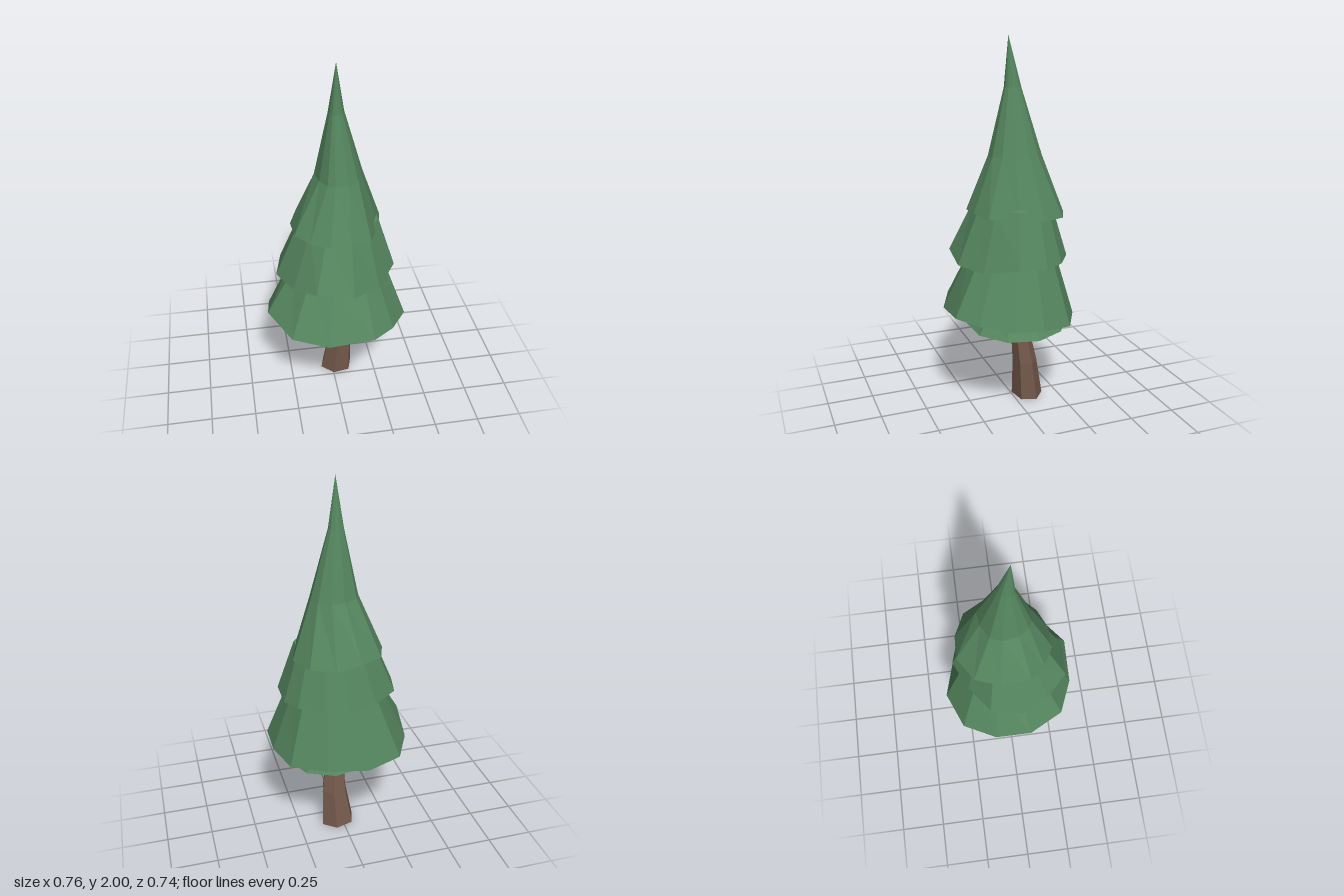
import * as THREE from 'three';

// Loft through closed rings of [x, y, z] points, ordered bottom to top, with pointed or flat ends.
function loft(name, rings, bottom, top, material) {
  const pos = [];
  const tri = (a, b, c) => pos.push(...a, ...b, ...c);
  const n = rings[0].length;
  const last = rings[rings.length - 1];
  for (let i = 0; i < n; i++) {
    const j = (i + 1) % n;
    tri(bottom, rings[0][i], rings[0][j]);
    for (let k = 0; k + 1 < rings.length; k++) {
      const lo = rings[k], hi = rings[k + 1];
      tri(lo[i], hi[i], hi[j]);
      tri(lo[i], hi[j], lo[j]);
    }
    tri(top, last[j], last[i]);
  }
  const g = new THREE.BufferGeometry();
  g.setAttribute('position', new THREE.Float32BufferAttribute(pos, 3));
  g.computeVertexNormals();
  const mesh = new THREE.Mesh(g, material);
  mesh.name = name;
  return mesh;
}

// Shrink a ring about (cx, cz); place it at height y, or lift it by dy when y is null.
const shrink = (ring, s, cx, cz, y, dy = 0) =>
  ring.map(([x, py, z]) => [cx + x * s, y === null ? py + dy : y, cz + z * s]);

// Regular ring for the trunk and the lowest skirt, tilted along x.
function ngon(n, cx, cz, rx, rz, y, tilt = 0, phase = 0) {
  return Array.from({ length: n }, (_, i) => {
    const a = (i / n) * Math.PI * 2 + phase;
    return [cx + rx * Math.sin(a), y - tilt * Math.sin(a), cz - rz * Math.cos(a)];
  });
}

export function createModel() {
  const group = new THREE.Group();
  group.name = 'pineTree';
  const green = new THREE.MeshStandardMaterial({ color: 0x55865f, flatShading: true });
  const brown = new THREE.MeshStandardMaterial({ color: 0x75594c, flatShading: true });

  // Leaning six-sided trunk
  group.add(loft('trunk', [
    ngon(6, 0.025, -0.085, 0.097, 0.085, 0.01, 0.006, 0.25),
    ngon(6, 0.04, -0.065, 0.075, 0.067, 0.22, 0, 0.25),
    ngon(6, 0.025, -0.03, 0.045, 0.042, 0.5, 0, 0.25),
  ], [0.025, 0.006, -0.085], [0.025, 0.52, -0.03], brown));

  // Small skirt under the branches
  const skirt = ngon(10, 0.035, -0.015, 0.265, 0.275, 0.462, 0.02, 0.2);
  group.add(loft('lowerSkirt', [skirt, shrink(skirt, 0.72, 0.01, 0, 0.56)],
    [0.03, 0.49, -0.02], [0.02, 0.66, 0], green));

  // Bottom tier: uneven rim, hollowed underside
  const rim1 = [
    [-0.07, 0.52, -0.37], [0.14, 0.51, -0.31], [0.32, 0.51, -0.21], [0.38, 0.53, -0.04],
    [0.38, 0.545, 0.13], [0.28, 0.565, 0.28], [0.16, 0.575, 0.37], [-0.085, 0.55, 0.365],
    [-0.275, 0.565, 0.285], [-0.385, 0.61, 0.09], [-0.365, 0.53, -0.11], [-0.27, 0.52, -0.29],
  ];
  group.add(loft('bottomTier', [
    shrink(rim1, 0.6, 0.01, 0, null, 0.07), rim1, shrink(rim1, 0.64, 0.02, -0.01, 0.87),
  ], [0.01, 0.63, 0], [0.01, 1, 0], green));

  // Middle tier
  const rim2 = [
    [0.015, 0.84, -0.305], [0.13, 0.845, -0.27], [0.265, 0.845, -0.18], [0.318, 0.84, -0.08],
    [0.32, 0.85, 0.075], [0.205, 0.815, 0.23], [0.055, 0.83, 0.32], [-0.14, 0.865, 0.31],
    [-0.25, 0.83, 0.195], [-0.325, 0.83, 0.04], [-0.285, 0.84, -0.125], [-0.145, 0.84, -0.235],
  ];
  group.add(loft('middleTier', [
    shrink(rim2, 0.65, 0.01, 0, null, 0.04), rim2, shrink(rim2, 0.66, 0.02, -0.01, 1.13),
  ], [0.01, 0.89, 0], [0.01, 1.25, 0], green));

  // Top tier, narrowing in three steps to the tip
  const rim3 = [
    [-0.055, 1.1, -0.275], [0.08, 1.075, -0.27], [0.205, 1.075, -0.21], [0.265, 1.08, -0.085],
    [0.235, 1.08, 0.035], [0.165, 1.09, 0.185], [0.055, 1.1, 0.23], [-0.055, 1.1, 0.235],
    [-0.155, 1.1, 0.18], [-0.225, 1.11, 0.1], [-0.23, 1.085, -0.06], [-0.18, 1.09, -0.195],
  ];
  const mid3 = [
    [0, -0.135], [0.07, -0.145], [0.13, -0.1], [0.155, -0.045], [0.14, 0.03], [0.11, 0.09],
    [0.055, 0.125], [-0.015, 0.125], [-0.05, 0.105], [-0.085, 0.05], [-0.1, -0.035], [-0.075, -0.095],
  ].map(([x, z]) => [x, 1.39, z]);
  group.add(loft('topTier', [
    shrink(rim3, 0.65, 0.01, 0, null, 0.04), rim3, mid3, shrink(mid3, 0.32, 0.002, 0, 1.74),
  ], [0.01, 1.14, 0], [0.006, 2, 0.018], green));

  return group;
}
